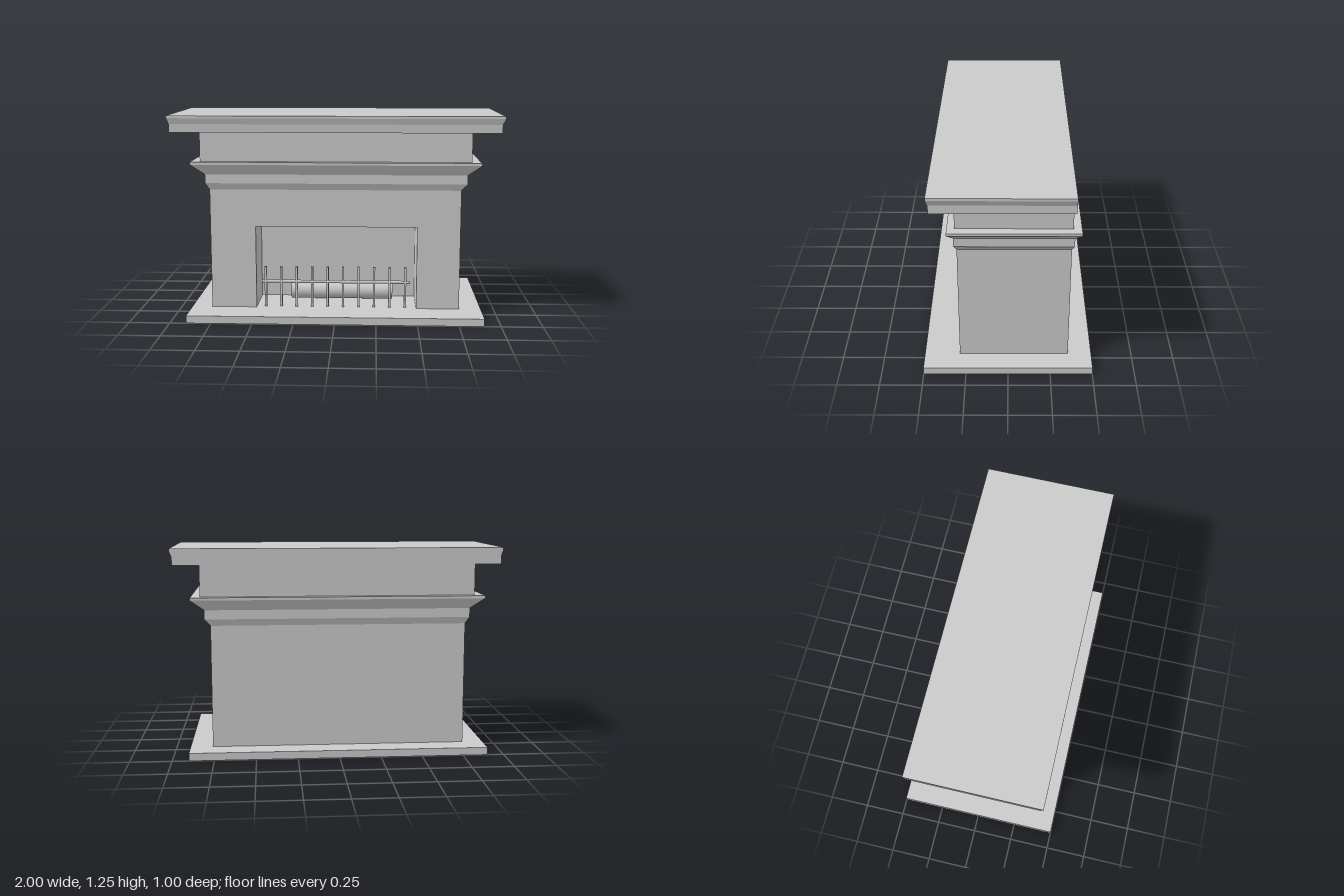
import * as THREE from 'three';

const grey = new THREE.MeshStandardMaterial({ color: 0xcccccc });

function add(parent, name, geometry, x = 0, y = 0, z = 0) {
  const mesh = new THREE.Mesh(geometry, grey);
  mesh.name = name;
  mesh.position.set(x, y, z);
  parent.add(mesh);
  return mesh;
}

// Box given by its limits
function block(parent, name, x0, x1, y0, y1, z0, z1) {
  return add(parent, name, new THREE.BoxGeometry(x1 - x0, y1 - y0, z1 - z0),
    (x0 + x1) / 2, (y0 + y1) / 2, (z0 + z1) / 2);
}

// Capped stack of rectangles, listed bottom to top as [y, x0, x1, z0, z1]
function moulding(levels) {
  const pos = [];
  const quad = (a, b, c, d) => pos.push(...a, ...b, ...c, ...a, ...c, ...d);
  const rings = levels.map(([y, x0, x1, z0, z1]) =>
    [[x0, y, z1], [x1, y, z1], [x1, y, z0], [x0, y, z0]]);
  for (let i = 0; i < rings.length - 1; i++) {
    for (let k = 0; k < 4; k++) {
      const n = (k + 1) % 4;
      quad(rings[i][k], rings[i][n], rings[i + 1][n], rings[i + 1][k]);
    }
  }
  quad(...rings[rings.length - 1]);
  quad(...[...rings[0]].reverse());
  const g = new THREE.BufferGeometry();
  g.setAttribute('position', new THREE.Float32BufferAttribute(pos, 3));
  g.computeVertexNormals();
  return g;
}

export function createModel() {
  const model = new THREE.Group();
  model.name = 'fireplace';

  // Hearth slab
  block(model, 'hearth', -0.9, 0.9, 0, 0.046, -0.5, 0.5);

  // Surround with the fire opening, closed by a solid rear block
  const fireboxBack = 0;
  const outline = new THREE.Shape([
    [-0.775, 0.046], [-0.495, 0.046], [-0.495, 0.56], [0.5, 0.56],
    [0.5, 0.046], [0.765, 0.046], [0.765, 0.79], [-0.775, 0.79],
  ].map(([x, y]) => new THREE.Vector2(x, y)));
  add(model, 'surround',
    new THREE.ExtrudeGeometry(outline, { depth: 0.29 - fireboxBack, bevelEnabled: false }),
    0, 0, fireboxBack);
  block(model, 'rearBlock', -0.775, 0.765, 0.046, 0.79, -0.36, fireboxBack);

  // Moulding running round all four sides
  add(model, 'cornice', moulding([
    [0.79, -0.775, 0.765, -0.36, 0.29],
    [0.83, -0.8, 0.8, -0.373, 0.305],
    [0.885, -0.8, 0.8, -0.373, 0.305],
    [0.947, -0.885, 0.88, -0.407, 0.338],
    [0.963, -0.885, 0.88, -0.407, 0.338],
  ]));

  // Plain band under the shelf
  block(model, 'frieze', -0.83, 0.825, 0.963, 1.15, -0.36, 0.295);

  // Mantel shelf, shaped on the front and ends and flat at the back
  add(model, 'mantelShelf', moulding([
    [1.15, -0.988, 0.985, -0.363, 0.418],
    [1.2, -0.988, 0.985, -0.363, 0.42],
    [1.235, -1, 1, -0.363, 0.43],
    [1.25, -1, 1, -0.363, 0.43],
  ]));

  // Grate: ten uprights and one rail
  const grate = new THREE.Group();
  grate.name = 'grate';
  model.add(grate);
  for (let i = 0; i < 10; i++) {
    add(grate, 'grateBar', new THREE.BoxGeometry(0.014, 0.254, 0.022),
      -0.44 + i * 0.0968, 0.173, 0.257);
  }
  const rail = new THREE.CylinderGeometry(0.01, 0.01, 0.925, 12).rotateZ(Math.PI / 2);
  add(grate, 'grateRail', rail, -0.002, 0.206, 0.26);

  // Log lying behind the grate
  const log = new THREE.CylinderGeometry(0.055, 0.055, 0.645, 24).rotateZ(Math.PI / 2);
  add(model, 'log', log, 0.032, 0.11, 0.09);

  return model;
}
